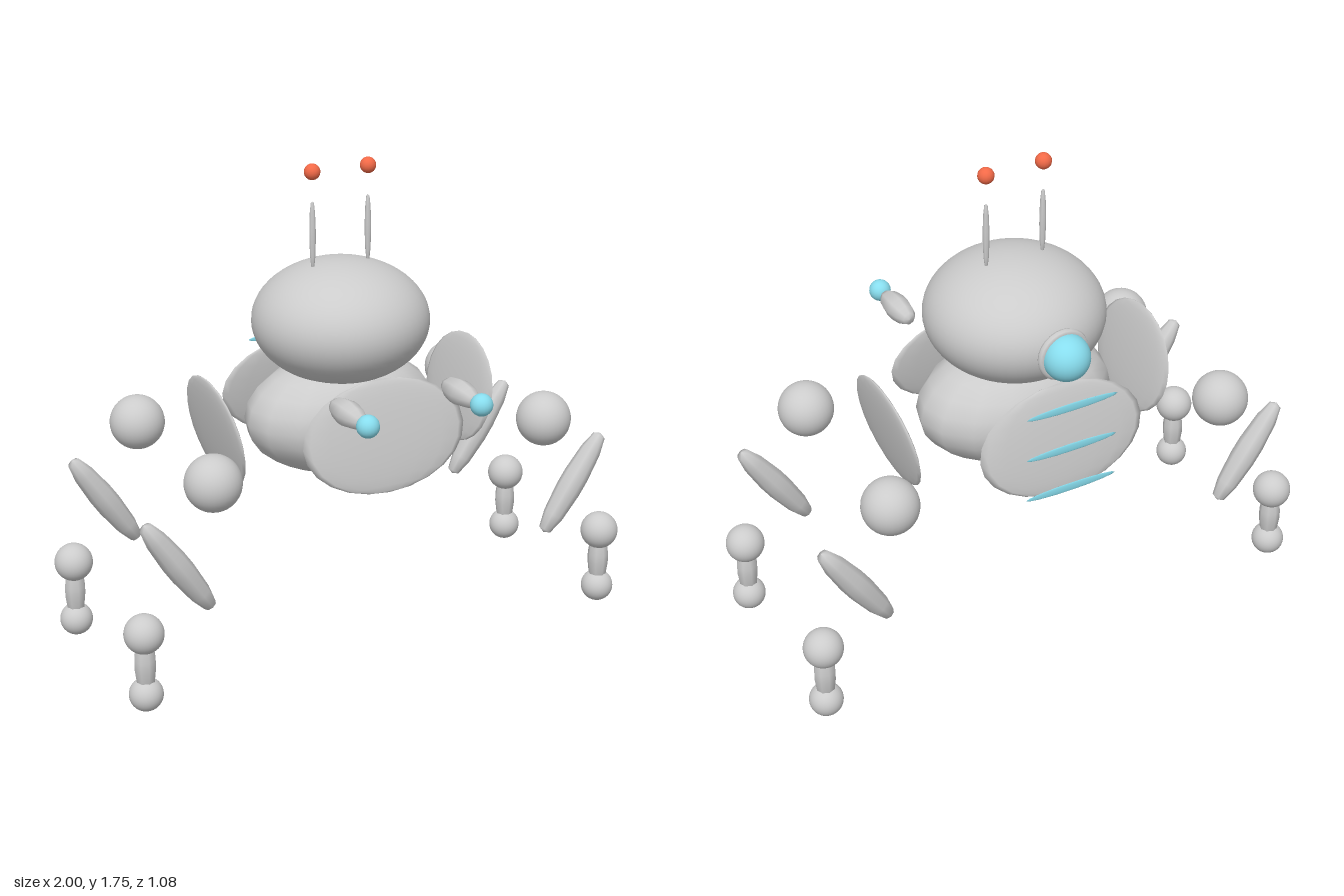
import * as THREE from 'three';

const grey = new THREE.MeshStandardMaterial({ color: 0xcccccc });
const blue = new THREE.MeshStandardMaterial({ color: 0x88ddee });
const red = new THREE.MeshStandardMaterial({ color: 0xf26a48 });
const MID_Z = -0.107;

export function createModel() {
  const model = new THREE.Group();
  model.name = 'walkerRobot';

  const add = (name, geometry, material, x, y, z, parent = model) => {
    const mesh = new THREE.Mesh(geometry, material);
    mesh.name = name;
    mesh.position.set(x, y, z);
    parent.add(mesh);
    return mesh;
  };
  const ellipsoid = (rx, ry, rz, w = 32, h = 20) =>
    new THREE.SphereGeometry(1, w, h).scale(rx, ry, rz);
  // Blunt-ended spindle along y, used for limbs and antennae
  const spindle = (radius, half) => {
    const profile = [[0, -1], [0.5, -0.95], [0.82, -0.65], [1, -0.15], [1, 0.15], [0.82, 0.65], [0.5, 0.95], [0, 1]];
    return new THREE.LatheGeometry(profile.map(([r, y]) => new THREE.Vector2(r * radius, y * half)), 8);
  };

  // Head and body
  add('head', ellipsoid(0.32, 0.222, 0.32, 48, 32), grey, 0, 1.177, MID_Z);
  add('body', ellipsoid(0.37, 0.218, 0.25, 16, 12), grey, 0, 0.83, MID_Z);

  // Thin tilted shell plates around the body
  const tilt = 0.19;
  add('frontPlate', ellipsoid(0.32, 0.203, 0.02, 16, 12), grey, 0, 0.84, 0.222).rotation.x = -tilt;
  add('backPlate', ellipsoid(0.32, 0.203, 0.02, 16, 12), grey, 0, 0.84, -0.44).rotation.x = tilt;

  // Glowing vents behind the back plate
  for (const y of [0.677, 0.842, 1.007]) {
    add('backVent', ellipsoid(0.178, 0.016, 0.003, 16, 8), blue, 0, y, -0.507);
  }

  // Rear lamp with its ring
  add('rearLamp', ellipsoid(0.083, 0.083, 0.083), blue, 0, 1.177, -0.458);
  add('rearLampRing', new THREE.TorusGeometry(0.083, 0.014, 8, 24), grey, 0, 1.177, -0.437);

  for (const [side, s] of [['left', 1], ['right', -1]]) {
    add(side + 'Plate', ellipsoid(0.02, 0.203, 0.23, 16, 12), grey, s * 0.498, 0.84, MID_Z).rotation.z = -s * tilt;

    // Antenna and floating tip
    add(side + 'Antenna', spindle(0.012, 0.12), grey, s * 0.11, 1.5, MID_Z);
    add(side + 'AntennaTip', ellipsoid(0.029, 0.029, 0.029, 16, 12), red, s * 0.11, 1.725, MID_Z);

    // Forward-pointing arm and hand
    add(side + 'Arm', spindle(0.046, 0.098), grey, s * 0.22, 1.007, 0.361).rotation.x = Math.PI / 2;
    add(side + 'Hand', ellipsoid(0.04, 0.04, 0.04, 20, 14), blue, s * 0.22, 1.007, 0.503);

    // Front and back legs
    for (const [end, z] of [['Front', 0.225], ['Back', -0.44]]) {
      const leg = new THREE.Group();
      leg.name = side + end + 'Leg';
      leg.position.z = z;
      model.add(leg);
      add('hip', ellipsoid(0.1, 0.1, 0.1), grey, s * 0.66, 0.79, 0, leg);
      add('thigh', spindle(0.047, 0.213), grey, s * 0.797, 0.51, 0, leg).rotation.z = -s * 0.6;
      add('knee', ellipsoid(0.07, 0.07, 0.07), grey, s * 0.93, 0.291, 0, leg);
      add('shin', spindle(0.039, 0.11), grey, s * 0.93, 0.178, 0, leg);
      add('foot', ellipsoid(0.06, 0.06, 0.06), grey, s * 0.93, 0.063, 0, leg);
    }
  }
  return model;
}
